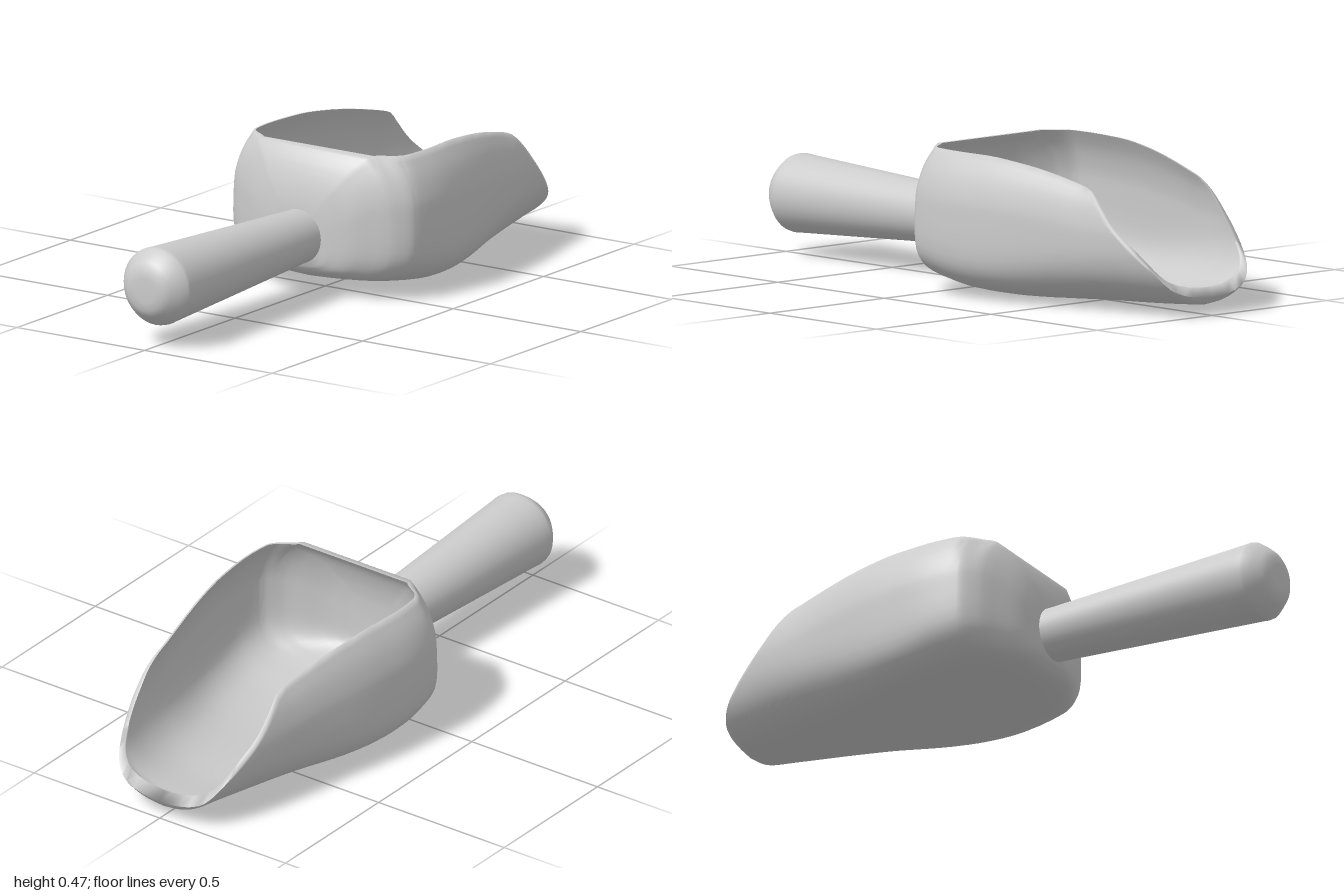
import * as THREE from 'three';
import { toCreasedNormals } from 'three/addons/utils/BufferGeometryUtils.js';

const { lerp, smoothstep } = THREE.MathUtils;

// Smooth interpolation through [x, value] pairs
function table(pts) {
  const slope = (i) => {
    const a = pts[Math.max(i - 1, 0)], b = pts[i], c = pts[Math.min(i + 1, pts.length - 1)];
    const l = b === a ? 0 : (b[1] - a[1]) / (b[0] - a[0]);
    const r = b === c ? 0 : (c[1] - b[1]) / (c[0] - b[0]);
    if (a === b) return r;
    if (b === c) return l;
    return l * r <= 0 ? 0 : (2 * l * r) / (l + r);
  };
  return (x) => {
    let i = 0;
    while (i < pts.length - 2 && x > pts[i + 1][0]) i++;
    const [x0, y0] = pts[i], [x1, y1] = pts[i + 1], h = x1 - x0, t = (x - x0) / h;
    return y0 * (1 + 2 * t) * (1 - t) ** 2 + slope(i) * h * t * (1 - t) ** 2
      + y1 * t * t * (3 - 2 * t) + slope(i + 1) * h * t * t * (t - 1);
  };
}

// Bowl outline along its length: floor, rim height and half width
const floorY = table([[-0.15, 0.1], [-0.13, 0.075], [-0.09, 0.055], [0.05, 0.025], [0.2, 0.005],
  [0.35, 0], [0.6, 0.01], [0.95, 0.03], [0.98, 0.036], [1, 0.058]]);
const rimY = table([[-0.15, 0.29], [-0.14, 0.34], [-0.1, 0.43], [-0.05, 0.47], [0.25, 0.468],
  [0.4, 0.455], [0.65, 0.405], [0.69, 0.39], [0.73, 0.355], [0.8, 0.28], [0.9, 0.19],
  [0.95, 0.14], [0.98, 0.097], [1, 0.058]]);
const halfWidth = table([[-0.15, 0.1], [-0.13, 0.18], [-0.1, 0.24], [-0.06, 0.31], [0, 0.355],
  [0.12, 0.37], [0.28, 0.355], [0.6, 0.292], [0.8, 0.254], [0.92, 0.224], [1, 0.21]]);

// Half cross-sections (width, height): boxy at the back, rounder at the lip
const BOXY = [[0, 0], [0.3, 0.01], [0.6, 0.033], [0.81, 0.08], [0.945, 0.175], [1, 0.315],
  [1, 0.58], [0.985, 0.71], [0.925, 0.865], [0.825, 1]];
const ROUND = [[0, 0], [0.3, 0.025], [0.55, 0.08], [0.75, 0.17], [0.9, 0.3], [0.98, 0.45],
  [1, 0.6], [0.99, 0.72], [0.94, 0.88], [0.86, 1]];

const N = 48; // segments across one section

// One U-shaped section of the bowl, cut off at the rim height
function section(x, inner) {
  const k = smoothstep(x, 0.2, 0.9);
  const lip = smoothstep(x, 0.7, 1);
  const back = 1 - smoothstep(x, -0.05, 0.05);
  const px = inner ? x + 0.012 * back - 0.03 * lip : x;
  const base = floorY(x) + (inner ? 0.018 + 0.012 * lip : 0);
  const wall = inner ? 0.018 : 0;
  let cut = rimY(x) + (inner ? 0.03 * lip : 0);
  if (inner && x < -0.051) cut -= 0.012;
  const full = x < 0.65 ? cut : Math.max(cut, 0.405 - 0.1 * (x - 0.65));
  const curve = new THREE.SplineCurve(BOXY.map(([a, b], i) =>
    new THREE.Vector2(lerp(a, ROUND[i][0], k), lerp(b, ROUND[i][1], k))));

  let lo = 0, hi = 1;
  const f = (cut - base) / (full - base);
  if (f >= 0.9999) lo = 1;
  else for (let i = 0; i < 24; i++) {
    const mid = (lo + hi) / 2;
    if (curve.getPoint(mid).y < f) lo = mid; else hi = mid;
  }
  const out = [];
  for (let j = 0; j <= N; j++) {
    const u = (2 * j) / N - 1;
    const p = curve.getPoint(Math.abs(u) * lo);
    const pinch = 1 - 0.17 * back ** 2 * p.y ** 6; // rounds the rear corners of the opening
    const w = halfWidth(x) - wall * (1 - 0.6 * Math.max(p.y ** 4, lip)); // wall thins to the rim
    out.push([px, base + p.y * (full - base), Math.sign(u) * p.x * w * pinch]);
  }
  return out;
}

function bowlGeometry() {
  const xs = [-0.15, -0.145, -0.138, -0.13, -0.115, -0.1, -0.085, -0.07, -0.06, -0.05];
  const rim = xs.length - 1; // first open section
  for (let x = -0.042; x < 0.05; x += 0.01) xs.push(x);
  for (let x = 0.06; x < 0.64; x += 0.04) xs.push(x);
  for (let x = 0.65; x < 0.94; x += 0.02) xs.push(x);
  xs.push(0.94, 0.95, 0.96, 0.97, 0.98, 0.987, 0.993, 0.997, 0.999, 1);

  const M = 2 * (N + 1), pos = [], idx = [];
  for (const x of xs) {
    pos.push(...section(x, false).flat(), ...section(x, true).reverse().flat());
  }
  const quad = (a, b, c, d) => idx.push(a, b, c, a, c, d);
  const strip = (i, j, k) => quad(i * M + j, (i + 1) * M + j, (i + 1) * M + k, i * M + k);

  for (let i = 0; i < xs.length - 1; i++) {
    for (let j = 0; j < M; j++) {
      if (i >= rim) strip(i, j, (j + 1) % M);
      else if (j === N) strip(i, N, 0);
      else if (j === M - 1) strip(i, M - 1, N + 1);
      else strip(i, j, j + 1);
    }
  }
  // Rear edge of the opening
  const r = rim * M;
  quad(r + N, r + N + 1, r + M - 1, r);
  // Rear wall, outside and inside
  const c = pos.length / 3;
  pos.push(-0.152, 0.195, 0, -0.138, 0.195, 0);
  for (let j = 0; j <= N; j++) {
    idx.push(c, j, j === N ? 0 : j + 1);
    idx.push(c + 1, N + 1 + j, j === N ? N + 1 : N + 2 + j);
  }
  const g = new THREE.BufferGeometry();
  g.setAttribute('position', new THREE.Float32BufferAttribute(pos, 3));
  g.setIndex(idx);
  return toCreasedNormals(g, 1.65); // soft, rolled rim
}

// Tapered round handle with a domed end
function handleGeometry() {
  const profile = [[0, -1], [0.04, -1], [0.068, -0.997], [0.09, -0.983], [0.11, -0.96],
    [0.126, -0.938], [0.128, -0.925], [0.126, -0.9], [0.107, -0.53], [0.0885, -0.17],
    [0.088, -0.142]];
  const g = new THREE.LatheGeometry(profile.map(([a, b]) => new THREE.Vector2(a, b)), 40);
  g.rotateZ(-Math.PI / 2);
  g.translate(0, 0.197, 0);
  return g;
}

export function createModel() {
  const group = new THREE.Group();
  group.name = 'scoop';
  const material = new THREE.MeshStandardMaterial({ color: 0xcccccc });
  const add = (name, geometry) => {
    const mesh = new THREE.Mesh(geometry, material);
    mesh.name = name;
    group.add(mesh);
  };
  add('bowl', bowlGeometry());
  add('handle', handleGeometry());
  return group;
}
